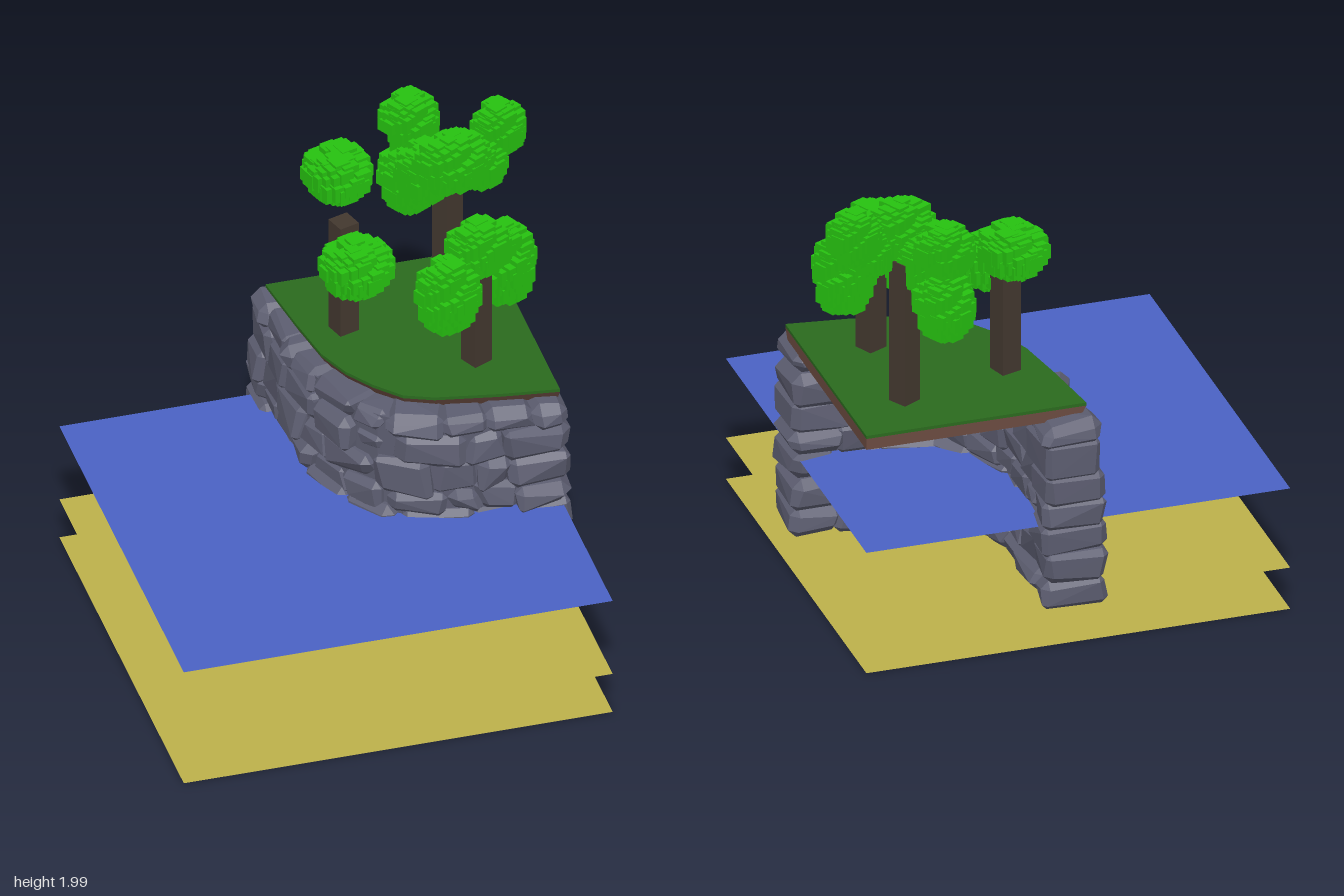
import * as THREE from 'three';
import { mergeGeometries } from 'three/addons/utils/BufferGeometryUtils.js';
import { ConvexGeometry } from 'three/addons/geometries/ConvexGeometry.js';

// Seeded random numbers
let seed = 11;
const rnd = () => {
  seed = (seed * 16807) % 2147483647;
  return seed / 2147483647;
};
const jit = (a) => (rnd() * 2 - 1) * a;

const mat = (color, extra = {}) => new THREE.MeshStandardMaterial({ color, ...extra });
const mats = {
  rock: mat(0x5c5d70, { flatShading: true }),
  grass: mat(0x2a6a1e),
  dirt: mat(0x6b4b40),
  bark: mat(0x43382f),
  leaf: mat(0x26c210),
  water: mat(0x4a62c4, { side: THREE.DoubleSide }),
  sand: mat(0xbcb04a, { side: THREE.DoubleSide }),
};

function add(parent, geometry, material, name) {
  const mesh = new THREE.Mesh(geometry, material);
  mesh.name = name;
  parent.add(mesh);
  return mesh;
}

// Square sheets for the water and the sea bed
function sheet(parent, y, material, name) {
  const mesh = add(parent, new THREE.PlaneGeometry(1.83, 1.83).rotateX(-Math.PI / 2), material, name);
  mesh.position.set(-0.045, y, 0.055);
}

// Chipped stone: a box whose every corner is cut off unevenly
function stone(w, h, d) {
  const pts = [];
  for (const sx of [-1, 1]) for (const sy of [-1, 1]) for (const sz of [-1, 1]) {
    const x = w / 2 + jit(0.012), y = h / 2 + jit(0.01), z = d / 2 + jit(0.015);
    const c = 0.015 + rnd() * 0.03;
    pts.push(
      new THREE.Vector3(sx * x, sy * (y - c), sz * (z - c)),
      new THREE.Vector3(sx * (x - c), sy * y, sz * (z - c)),
      new THREE.Vector3(sx * (x - c), sy * (y - c), sz * z));
  }
  return new ConvexGeometry(pts);
}

// Curved cliff wall, stacked in courses along a path
function cliff() {
  const path = new THREE.CatmullRomCurve3([
    [0.0, -0.94], [0.0, -0.62], [0.03, -0.32], [0.1, -0.13], [0.21, 0.03], [0.36, 0.1], [0.6, 0.12], [0.89, 0.125],
  ].map(([x, z]) => new THREE.Vector3(x, 0, z)));
  const length = path.getLength();
  const parts = [];
  const put = (geometry, t, y, out) => {
    const p = path.getPointAt(t), g = path.getTangentAt(t);
    geometry.rotateY(Math.atan2(-g.z, g.x));
    geometry.translate(p.x - g.z * out, y, p.z + g.x * out);
    geometry.deleteAttribute('uv');
    parts.push(geometry);
  };
  // Inner core closes the joints
  for (let i = 1; i < 20; i++) put(new THREE.BoxGeometry(0.11, 0.8, 0.15).toNonIndexed(), i / 20, 0.62, 0);

  const courses = [0.2, 0.33, 0.45, 0.57, 0.67, 0.81, 0.94, 1.045];
  const counts = [9, 10, 8, 10, 9, 8, 10];
  counts.forEach((n, k) => {
    const cuts = Array.from({ length: n + 1 }, (_, i) => (i === 0 || i === n ? i / n : (i + jit(0.25)) / n));
    for (let i = 0; i < n; i++) {
      const end = i === 0 || i === n - 1;
      const w = (cuts[i + 1] - cuts[i]) * length + 0.025;
      const h = courses[k + 1] - courses[k];
      const mid = (courses[k + 1] + courses[k]) / 2;
      const edge = k === 0 || k === counts.length - 1;
      // Ends are bulkier than the rest of the wall
      const d = (end ? 0.27 : 0.22) + jit(0.025);
      put(stone(w, h + (edge ? 0 : rnd() * 0.05), d), (cuts[i] + cuts[i + 1]) / 2, mid, jit(0.012));
    }
  });
  return mergeGeometries(parts);
}

// Flat plateau with two straight sides and a rounded cliff edge
function plateau(y, height) {
  const outline = [[-0.08, -0.86], [0.87, -0.86], [0.87, 0.195], [0.62, 0.16], [0.36, 0.11], [0.24, 0.06],
    [0.14, -0.05], [0.06, -0.17], [0.0, -0.32], [-0.04, -0.56]];
  const shape = new THREE.Shape(outline.map(([x, z]) => new THREE.Vector2(x, -z)));
  return new THREE.ExtrudeGeometry(shape, { depth: height, bevelEnabled: false })
    .rotateX(-Math.PI / 2).translate(0, y, 0);
}

// Leaf clump: small cubes scattered over and inside an ellipsoid
function clump([x, y, z, rx, ry, rz], turn) {
  const parts = [], n = Math.round(38 + 1500 * (rx * ry + ry * rz + rx * rz) / 1.2);
  for (let i = 0; i < n; i++) {
    const v = 1 - 2 * (i + 0.5) / n, a = i * 2.39996;
    const r = Math.sqrt(1 - v * v), k = i % 4 === 0 ? 0.5 : 0.88 + rnd() * 0.12;
    const s = 0.05 + rnd() * 0.022, m = s / 2;
    parts.push(new THREE.BoxGeometry(s, s, s).rotateY(turn).translate(
      x + Math.cos(a) * r * k * (rx - m), y + v * k * (ry - m), z + Math.sin(a) * r * k * (rz - m)));
  }
  return mergeGeometries(parts);
}

// Each tree: trunk x, z, top, turn, and clumps as centre and radii
const trees = [
  { name: 'leftTree', x: 0.14, z: -0.47, top: 1.63, turn: 0.3, clumps: [
    [0.17, 1.74, -0.66, 0.145, 0.11, 0.165],
    [0.145, 1.515, -0.3, 0.155, 0.115, 0.155]] },
  { name: 'tallTree', x: 0.62, z: -0.6, top: 1.74, turn: 0.5, clumps: [
    [0.51, 1.86, -0.79, 0.12, 0.115, 0.125],
    [0.5, 1.59, -0.76, 0.12, 0.16, 0.15],
    [0.53, 1.72, -0.6, 0.13, 0.14, 0.13],
    [0.61, 1.82, -0.49, 0.16, 0.14, 0.125],
    [0.74, 1.77, -0.53, 0.11, 0.11, 0.1],
    [0.84, 1.88, -0.6, 0.11, 0.12, 0.1]] },
  { name: 'frontTree', x: 0.6, z: -0.105, top: 1.55, turn: 0.45, clumps: [
    [0.46, 1.49, -0.04, 0.135, 0.18, 0.115],
    [0.61, 1.64, -0.12, 0.13, 0.13, 0.11],
    [0.74, 1.5, -0.18, 0.13, 0.2, 0.115]] },
];

export function createModel() {
  const model = new THREE.Group();
  model.name = 'cliffIsland';

  sheet(model, 0, mats.sand, 'lowerSand');
  sheet(model, 0.19, mats.sand, 'upperSand');
  sheet(model, 0.555, mats.water, 'water');
  add(model, cliff(), mats.rock, 'cliffRocks');

  // Soil layer, its underside drawn in towards the back corner
  const dirt = plateau(1.03, 0.05);
  const p = dirt.attributes.position;
  for (let i = 0; i < p.count; i++) {
    if (p.getY(i) > 1.05) continue;
    p.setX(i, 0.87 + (p.getX(i) - 0.87) * 0.97);
    p.setZ(i, -0.86 + (p.getZ(i) + 0.86) * 0.97);
  }
  dirt.computeVertexNormals();
  add(model, dirt, mats.dirt, 'soil');
  add(model, plateau(1.08, 0.014), mats.grass, 'grass');

  for (const t of trees) {
    const tree = new THREE.Group();
    tree.name = t.name;
    model.add(tree);
    const h = t.top - 1.09;
    const trunk = add(tree, new THREE.BoxGeometry(0.09, h, 0.09), mats.bark, 'trunk');
    trunk.position.set(t.x, 1.09 + h / 2, t.z);
    trunk.rotation.y = t.turn;
    add(tree, mergeGeometries(t.clumps.map((c) => clump(c, t.turn))), mats.leaf, 'leaves');
  }
  return model;
}
